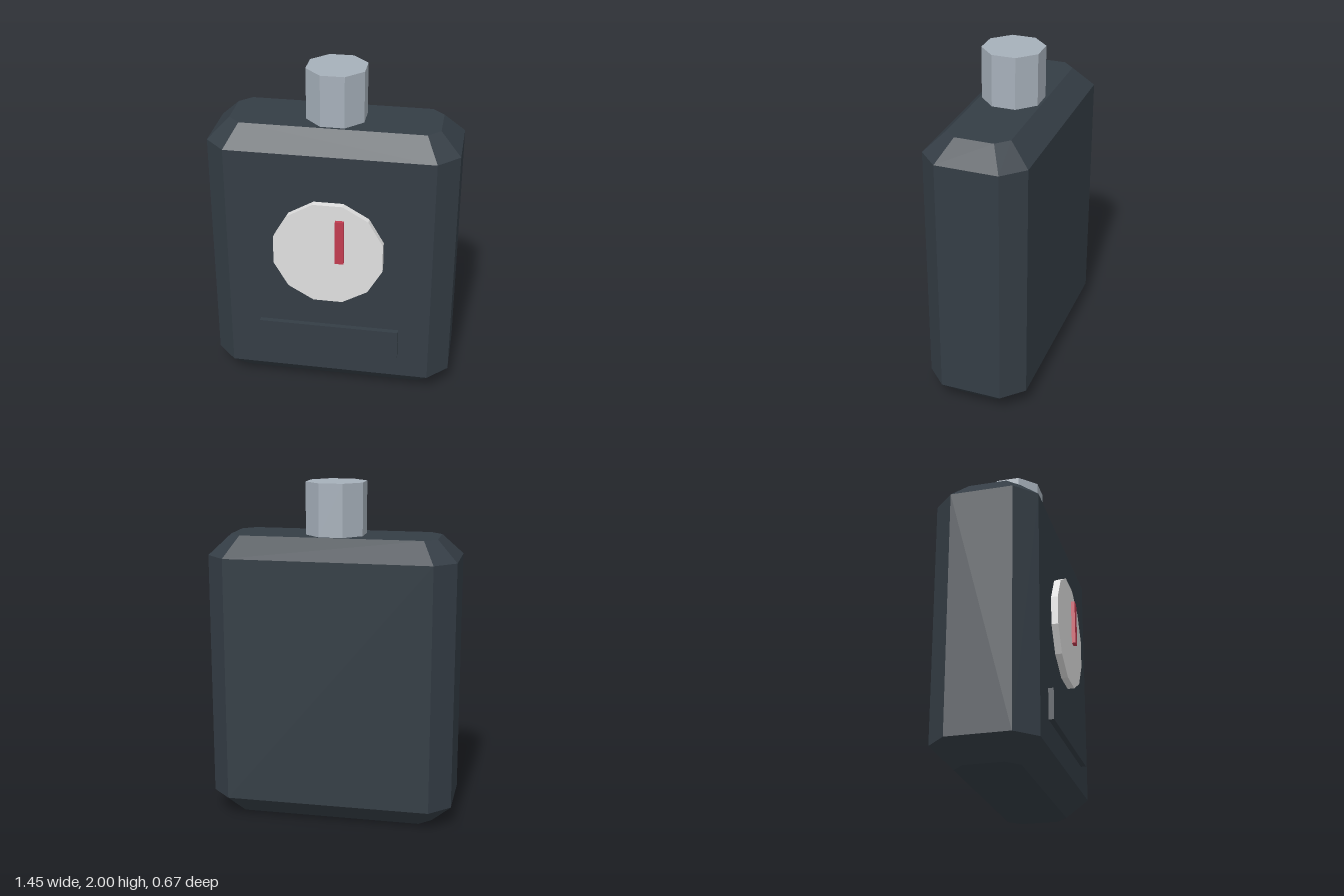
import * as THREE from 'three';
import { ConvexGeometry } from 'three/addons/geometries/ConvexGeometry.js';

const material = (name, color) => {
  const m = new THREE.MeshStandardMaterial({ color, flatShading: true });
  m.name = name;
  return m;
};

// Rectangle with cut corners, lying flat at height y
function cutRectangle(halfX, halfZ, cut, y) {
  const points = [];
  for (const sx of [-1, 1]) for (const sz of [-1, 1]) {
    points.push(new THREE.Vector3(sx * (halfX - cut), y, sz * halfZ));
    points.push(new THREE.Vector3(sx * halfX, y, sz * (halfZ - cut)));
  }
  return points;
}

export function createModel() {
  const group = new THREE.Group();
  const dark = material('dark slate', 0x343d45);
  const steel = material('steel grey', 0xa6b0ba);
  const white = material('off white', 0xe0e0e0);
  const red = material('red', 0xc23b50);

  const add = (name, geometry, mat, x, y, z) => {
    const mesh = new THREE.Mesh(geometry, mat);
    mesh.name = name;
    mesh.position.set(x, y, z);
    group.add(mesh);
  };

  const height = 1.695, bevel = 0.12, centreZ = -0.032, front = 0.27;

  // Bevelled body: small cut rectangles at the ends, large ones between
  add('body', new ConvexGeometry([
    ...cutRectangle(0.605, 0.1825, 0.07, 0),
    ...cutRectangle(0.725, 0.3025, bevel, bevel),
    ...cutRectangle(0.725, 0.3025, bevel, height - bevel),
    ...cutRectangle(0.605, 0.1825, 0.07, height),
  ]), dark, 0, 0, centreZ);

  // Eight-sided neck
  add('neck', new THREE.CylinderGeometry(0.181, 0.181, 0.305, 8, 1, false, Math.PI / 8),
    steel, 0, height + 0.1525, centreZ);

  // Twelve-sided dial facing forward
  add('dial', new THREE.CylinderGeometry(0.332, 0.332, 0.04, 12, 1, false, Math.PI / 12).rotateX(Math.PI / 2),
    white, 0, 0.97, front + 0.02);

  // Needle and lower plate
  add('needle', new THREE.BoxGeometry(0.05, 0.275, 0.04), red, 0.071, 1.063, 0.312);
  add('lowerPlate', new THREE.BoxGeometry(0.842, 0.18, 0.04), dark, 0, 0.366, 0.281);

  return group;
}
